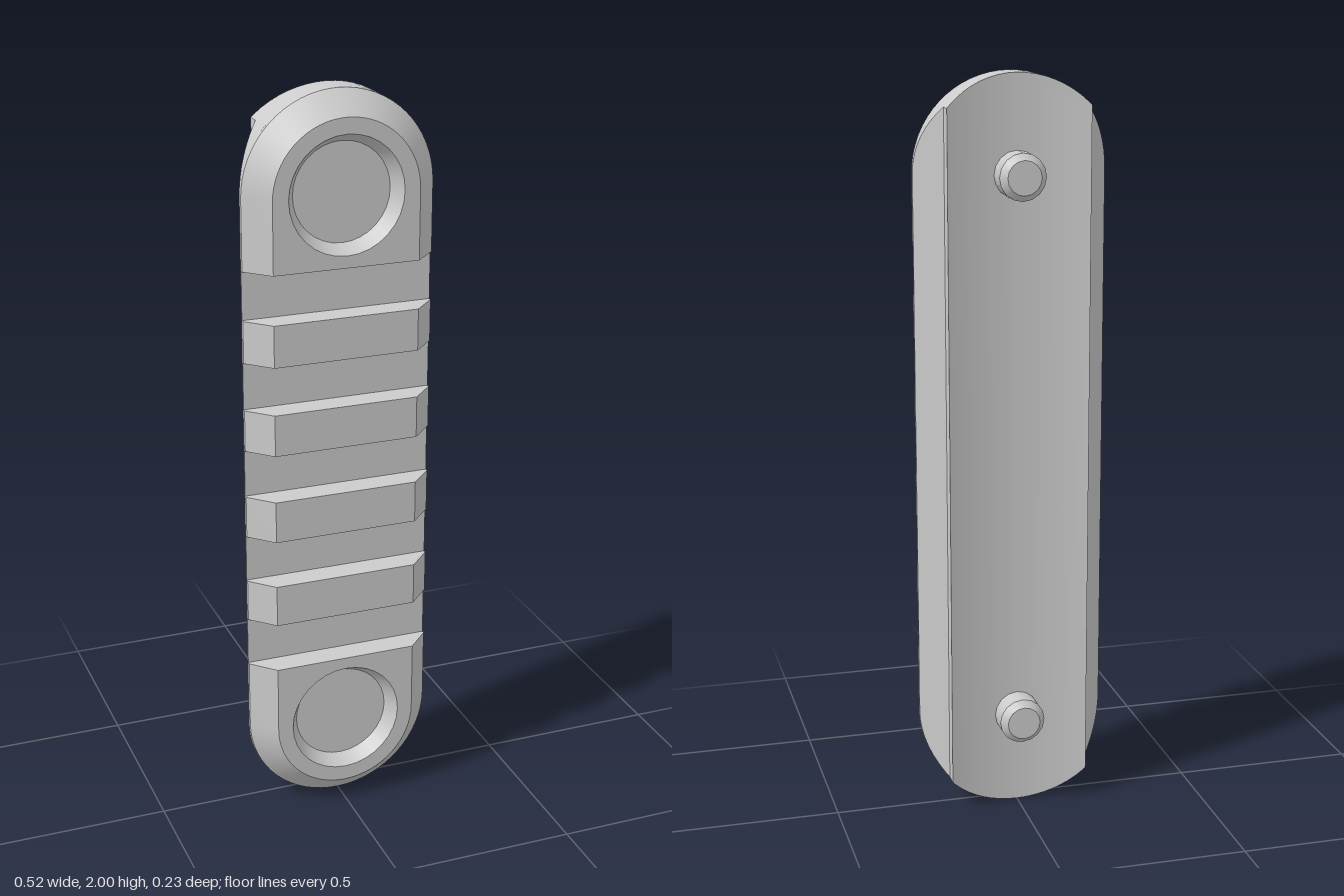
import * as THREE from 'three';
import { toCreasedNormals } from 'three/addons/utils/BufferGeometryUtils.js';

const R = 0.258, R_FRONT = 0.197;          // outline radius, chamfered front radius
const C_TOP = 2 - R, CUT = 1.555;          // centre of the round end, inner edge of the end pad
const Z_FLOOR = 0.042, Z_EDGE = 0.05, Z_FRONT = 0.113;
const FOOT = 0.19;                         // half width of the concave back
const HOLE_Y = 1.742, HOLE_R = 0.155, HOLE_FLOOR_R = 0.131, HOLE_DEPTH = 0.04;

const material = new THREE.MeshStandardMaterial({ color: 0xcccccc });

function part(name, geometry, parent) {
  const mesh = new THREE.Mesh(geometry, material);
  mesh.name = name;
  parent.add(mesh);
  return mesh;
}

// Skin over rows of points
function skin(rows) {
  const n = rows[0].length, index = [];
  for (let i = 0; i < rows.length - 1; i++) {
    for (let j = 0; j < n - 1; j++) {
      const a = i * n + j, b = a + 1, c = b + n, d = a + n;
      index.push(a, b, c, a, c, d);
    }
  }
  const g = new THREE.BufferGeometry();
  g.setAttribute('position', new THREE.Float32BufferAttribute(rows.flat(2), 3));
  g.setIndex(index);
  return toCreasedNormals(g, 0.5);
}

const concave = (x) => -0.037 - 0.03 * (x / FOOT) ** 2;
const flare = (x) => -0.03 + (x - FOOT);

// Body: back profile clipped to the rounded outline, lofted along y
function bodyGeometry() {
  const xs = [FOOT];
  for (let k = 0; k <= 16; k++) xs.push(R * Math.sin((k / 16) * Math.PI / 2));
  xs.sort((a, b) => a - b);

  const section = (y, w) => {
    const half = [];                       // from centre to side
    for (const x of xs) {
      const cx = Math.min(x, w);
      if (x <= FOOT) half.push([cx, concave(cx)]);
      if (x >= FOOT) half.push([cx, w < FOOT ? concave(cx) : flare(cx)]);
    }
    const loop = [
      ...half.slice().reverse(),
      ...half.slice(1).map(([x, z]) => [-x, z]),
      [-w, Z_FLOOR], [w, Z_FLOOR], half[half.length - 1],
    ];
    return loop.map(([x, z]) => [x, y, z]);
  };

  const rise = (w) => Math.sqrt(Math.max(0, R * R - w * w));
  const bottom = xs.map((w) => section(R - rise(w), w));
  const top = xs.slice().reverse().map((w) => section(C_TOP + rise(w), w));
  return skin([...bottom, ...top]);
}

// Bevelled cross-section shared by the ribs and the pads' inner ends
function ribShape() {
  return new THREE.Shape([
    [-R, Z_FLOOR], [R, Z_FLOOR], [R, Z_EDGE],
    [R_FRONT, Z_FRONT], [-R_FRONT, Z_FRONT], [-R, Z_EDGE],
  ].map(([x, z]) => new THREE.Vector2(x, z)));
}

// D-shaped outline of a pad
function padOutline(r) {
  const pts = [[r, CUT]];
  for (let k = 0; k <= 32; k++) {
    const t = (k / 32) * Math.PI;
    pts.push([r * Math.cos(t), C_TOP + r * Math.sin(t)]);
  }
  pts.push([-r, CUT]);
  return pts;
}

function createEnd() {
  const end = new THREE.Group();

  // Chamfered rim
  const ring = (r, z) => padOutline(r).map(([x, y]) => [x, y, z]);
  part('padRim', skin([ring(R, Z_FLOOR), ring(R, Z_EDGE), ring(R_FRONT, Z_FRONT)]), end);

  // Front face with round opening
  const face = new THREE.Shape(padOutline(R_FRONT).map(([x, y]) => new THREE.Vector2(x, y)));
  face.holes.push(new THREE.Path().absarc(0, HOLE_Y, HOLE_R, 0, Math.PI * 2, true));
  part('padFace', new THREE.ShapeGeometry(face, 16), end).position.z = Z_FRONT;

  // Inner end wall
  const wall = part('padInnerWall', new THREE.ShapeGeometry(ribShape()), end);
  wall.rotation.x = Math.PI / 2;
  wall.scale.z = 1;
  wall.position.y = CUT;
  wall.material = material.clone();
  wall.material.side = THREE.DoubleSide;

  // Tapered recess
  const recess = new THREE.LatheGeometry([
    new THREE.Vector2(HOLE_FLOOR_R, -HOLE_DEPTH), new THREE.Vector2(HOLE_R, 0),
  ], 32);
  const recessWall = part('recessWall', recess, end);
  recessWall.rotation.x = Math.PI / 2;
  recessWall.position.set(0, HOLE_Y, Z_FRONT);
  recessWall.material = wall.material;
  part('recessFloor', new THREE.CircleGeometry(HOLE_FLOOR_R, 32), end)
    .position.set(0, HOLE_Y, Z_FRONT - HOLE_DEPTH);

  // Locating pin on the back
  const pin = new THREE.LatheGeometry([
    [0.062, 0.02], [0.062, 0.097], [0.045, 0.115], [0, 0.115],
  ].map(([x, y]) => new THREE.Vector2(x, y)), 16);
  const peg = part('backPin', toCreasedNormals(pin, 0.5), end);
  peg.rotation.x = -Math.PI / 2;
  peg.position.y = HOLE_Y;
  return end;
}

export function createModel() {
  const model = new THREE.Group();
  model.name = 'accessoryRail';
  part('railBody', bodyGeometry(), model);

  // Crosswise ribs
  const ribs = [[0.58, 0.695], [0.825, 0.94], [1.07, 1.183], [1.312, 1.425]];
  for (const [y0, y1] of ribs) {
    const g = new THREE.ExtrudeGeometry(ribShape(), { depth: y1 - y0, bevelEnabled: false });
    const rib = part('rib', g, model);
    rib.rotation.x = Math.PI / 2;
    rib.position.y = y1;
  }

  // Rounded ends, the lower one turned half round
  const topEnd = createEnd();
  topEnd.name = 'topEnd';
  const bottomEnd = createEnd();
  bottomEnd.name = 'bottomEnd';
  bottomEnd.rotation.z = Math.PI;
  bottomEnd.position.y = 2;
  model.add(topEnd, bottomEnd);
  return model;
}
